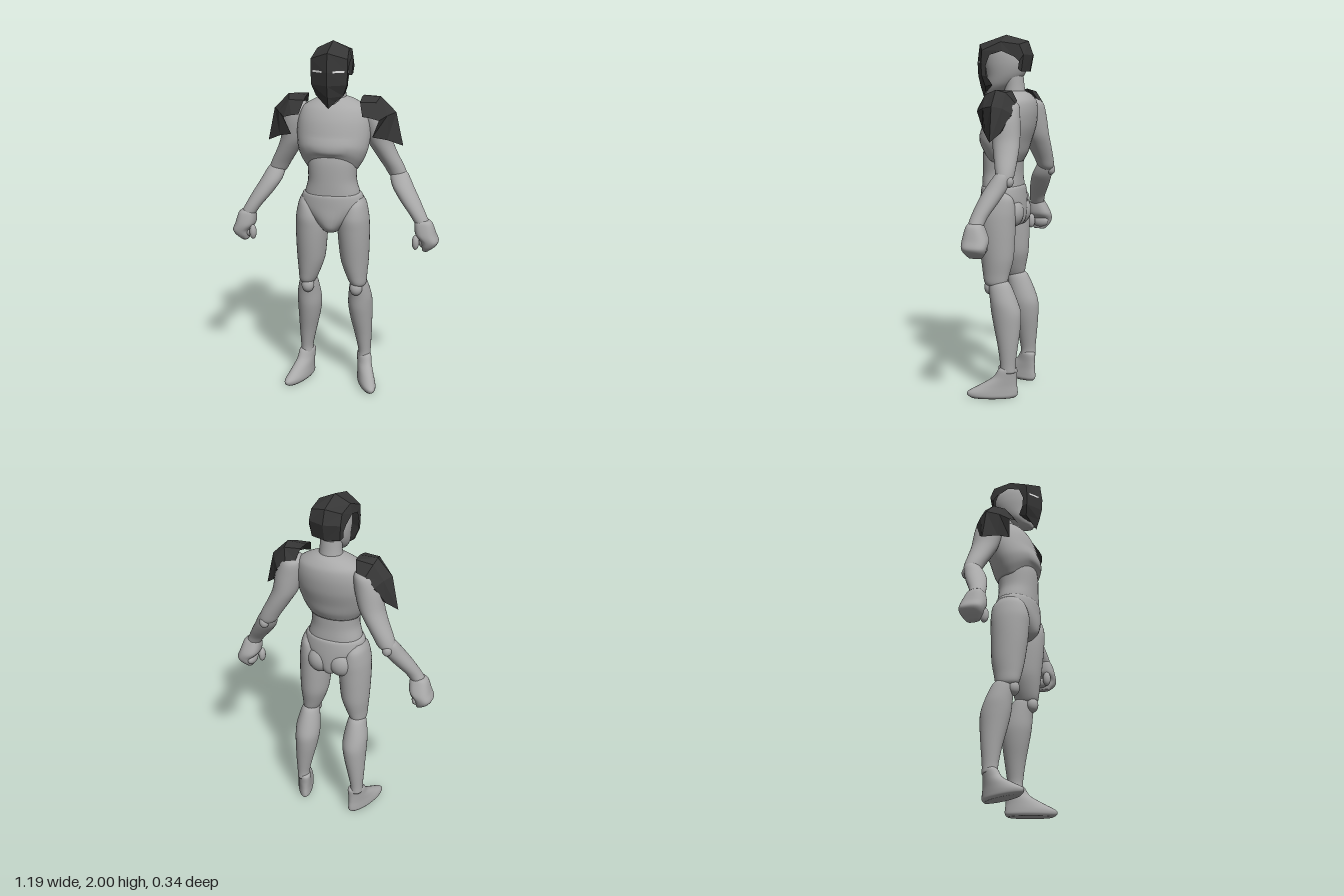
import * as THREE from 'three';

const grey = new THREE.MeshStandardMaterial({ color: 0xa9a9a9, name: 'body grey' });
const dark = new THREE.MeshStandardMaterial({ color: 0x363636, name: 'armour charcoal', flatShading: true, side: THREE.DoubleSide });
const white = new THREE.MeshStandardMaterial({ color: 0xf4f4f4, name: 'eye white', side: THREE.DoubleSide });

function build(positions, index) {
  const g = new THREE.BufferGeometry();
  g.setAttribute('position', new THREE.Float32BufferAttribute(positions, 3));
  if (index) g.setIndex(index);
  g.computeVertexNormals();
  return g;
}

function add(parent, name, geometry, material) {
  const mesh = new THREE.Mesh(geometry, material);
  mesh.name = name;
  parent.add(mesh);
  return mesh;
}

// Smooth closed body from horizontal rings, top to bottom: [y, x, z, rx, rz].
// side mirrors the ring centres; power under 1 squares the rings; warp moves vertices.
function loft(rings, { side = 1, power = 1, warp = null } = {}) {
  const seg = 32, rows = (rings.length - 1) * 5;
  const centres = new THREE.CatmullRomCurve3(rings.map(r => new THREE.Vector3(r[1] * side, r[0], r[2])), false, 'catmullrom', 0.45);
  const radii = new THREE.CatmullRomCurve3(rings.map(r => new THREE.Vector3(r[3], r[4], 0)), false, 'catmullrom', 0.45);
  const bend = v => Math.sign(v) * Math.abs(v) ** power;
  const pos = [], idx = [];
  const push = p => { if (warp) warp(p); pos.push(p.x, p.y, p.z); };
  for (let i = 0; i <= rows; i++) {
    const c = centres.getPoint(i / rows), r = radii.getPoint(i / rows);
    for (let j = 0; j < seg; j++) {
      const a = j / seg * Math.PI * 2;
      push(new THREE.Vector3(c.x + r.x * bend(Math.cos(a)), c.y, c.z + r.y * bend(Math.sin(a))));
    }
  }
  for (let i = 0; i < rows; i++) for (let j = 0; j < seg; j++) {
    const a = i * seg + j, b = i * seg + (j + 1) % seg;
    idx.push(a, b, a + seg, b, b + seg, a + seg);
  }
  // End caps
  const top = pos.length / 3, last = rows * seg;
  push(centres.getPoint(0));
  push(centres.getPoint(1));
  for (let j = 0; j < seg; j++) {
    const k = (j + 1) % seg;
    idx.push(top, k, j, top + 1, last + j, last + k);
  }
  return build(pos, idx);
}

// Faceted sheet through rows of [x, y, z] points
function sheet(rows) {
  const pos = [];
  for (let i = 0; i < rows.length - 1; i++) for (let j = 0; j < rows[i].length - 1; j++) {
    const a = rows[i][j], b = rows[i][j + 1], c = rows[i + 1][j], d = rows[i + 1][j + 1];
    pos.push(...a, ...c, ...b, ...b, ...c, ...d);
  }
  return build(pos);
}
const mirrorX = ([x, y, z]) => [-x, y, z];
// Completes half rows that end on the centre line
const whole = rows => rows.map(r => [...r, ...r.slice(0, -1).reverse().map(mirrorX)]);

function ball(parent, name, x, y, z, rx, ry, rz) {
  const g = new THREE.SphereGeometry(1, 24, 16).scale(rx, ry, rz).translate(x, y, z);
  add(parent, name, g, grey);
}

function addTorso(body) {
  // The lower chest edge arches upward at the front
  const arch = p => {
    const t = THREE.MathUtils.clamp((1.5 - p.y) / 0.19, 0, 1);
    p.y += 0.07 * t * Math.min(1, Math.max(0, p.z / 0.12)) ** 2;
  };
  add(body, 'chest', loft([
    [1.7, 0, -0.055, 0.05, 0.045], [1.68, 0, -0.055, 0.11, 0.08], [1.64, 0, -0.048, 0.175, 0.115],
    [1.58, 0, -0.035, 0.2, 0.135], [1.5, 0, -0.018, 0.205, 0.142], [1.42, 0, 0.003, 0.195, 0.138],
    [1.36, 0, 0.01, 0.172, 0.128], [1.31, 0, 0.008, 0.142, 0.1]], { warp: arch }), grey);
  add(body, 'abdomen', loft([
    [1.43, 0, 0.01, 0.13, 0.1], [1.35, 0, 0.016, 0.138, 0.108], [1.25, 0, 0.018, 0.135, 0.108],
    [1.18, 0, 0.016, 0.152, 0.11], [1.12, 0, 0.015, 0.16, 0.11]], { power: 0.92 }), grey);
  add(body, 'pelvis', loft([
    [1.18, 0, 0.014, 0.145, 0.105], [1.165, 0, 0.014, 0.168, 0.118], [1.1, 0, 0.012, 0.178, 0.124],
    [1.04, 0, 0.012, 0.128, 0.127], [0.99, 0, 0.01, 0.075, 0.122], [0.96, 0, 0.005, 0.05, 0.1],
    [0.945, 0, 0, 0.025, 0.05]]), grey);
  add(body, 'neck', loft([
    [1.8, 0, -0.04, 0.06, 0.055], [1.73, 0, -0.048, 0.06, 0.054], [1.68, 0, -0.05, 0.065, 0.06],
    [1.62, 0, -0.05, 0.075, 0.07]]), grey);
  add(body, 'head', loft([
    [1.965, 0, 0, 0.03, 0.04], [1.945, 0, 0, 0.066, 0.09], [1.9, 0, -0.003, 0.082, 0.122],
    [1.84, 0, -0.003, 0.086, 0.123], [1.78, 0, 0.005, 0.08, 0.106], [1.73, 0, 0.03, 0.068, 0.083],
    [1.69, 0, 0.06, 0.045, 0.055], [1.67, 0, 0.08, 0.02, 0.03]]), grey);
}

function addHelmet(body) {
  const brow = [[0.1, 1.89, 0.06], [0.099, 1.915, 0.105], [0, 1.95, 0.157]];
  add(body, 'helmetCrown', sheet(whole([brow,
    [[0.1, 1.91, -0.01], [0.086, 1.96, 0], [0, 2, 0]],
    [[0.097, 1.88, -0.08], [0.084, 1.945, -0.105], [0, 1.965, -0.13]],
    [[0.095, 1.855, -0.108], [0.086, 1.89, -0.13], [0, 1.89, -0.157]],
    [[0.09, 1.815, -0.1], [0.078, 1.8, -0.115], [0, 1.8, -0.137]]])), dark);
  add(body, 'faceMask', sheet(whole([brow,
    [[0.099, 1.83, 0.085], [0.099, 1.85, 0.11], [0, 1.85, 0.17]],
    [[0.096, 1.775, 0.08], [0.097, 1.78, 0.108], [0, 1.78, 0.166]],
    [[0.078, 1.73, 0.053], [0.074, 1.72, 0.095], [0, 1.715, 0.15]],
    [[0.035, 1.7, 0.09], [0.035, 1.69, 0.11], [0, 1.655, 0.13]]])), dark);
  // Eye slits
  for (const s of [-1, 1]) {
    const row = y => [0.03, 0.086].map(x => [s * x, y, 0.174 - 0.606 * x]);
    add(body, 'eyeSlit', sheet([row(1.858), row(1.848)]), white);
  }
}

function addArm(body, side) {
  const arm = new THREE.Group();
  arm.name = side > 0 ? 'leftArm' : 'rightArm';
  body.add(arm);
  add(arm, 'upperArm', loft([
    [1.655, 0.195, -0.075, 0.02, 0.025], [1.625, 0.205, -0.075, 0.06, 0.07], [1.55, 0.225, -0.078, 0.076, 0.08],
    [1.45, 0.247, -0.09, 0.07, 0.076], [1.38, 0.28, -0.102, 0.063, 0.068], [1.3, 0.325, -0.115, 0.057, 0.055],
    [1.25, 0.348, -0.12, 0.05, 0.045], [1.225, 0.355, -0.12, 0.025, 0.025]], { side }), grey);
  ball(arm, 'elbow', side * 0.36, 1.235, -0.146, 0.027, 0.033, 0.026);
  add(arm, 'forearm', loft([
    [1.29, 0.345, -0.115, 0.025, 0.025], [1.265, 0.352, -0.112, 0.05, 0.045], [1.2, 0.378, -0.085, 0.06, 0.058],
    [1.13, 0.422, -0.055, 0.057, 0.055], [1.06, 0.47, -0.027, 0.047, 0.045], [1.01, 0.5, -0.016, 0.042, 0.04],
    [0.99, 0.505, -0.016, 0.03, 0.03]], { side }), grey);
  add(arm, 'hand', loft([
    [1.03, 0.502, -0.018, 0.035, 0.035], [1.01, 0.507, -0.018, 0.05, 0.048], [0.95, 0.52, -0.025, 0.058, 0.068],
    [0.91, 0.543, -0.026, 0.05, 0.067], [0.88, 0.537, -0.026, 0.038, 0.056], [0.853, 0.522, -0.025, 0.018, 0.035]],
    { side, power: 0.8 }), grey);
  ball(arm, 'thumb', side * 0.468, 0.905, 0.012, 0.02, 0.043, 0.024);
  ball(arm, 'curledFingers', side * 0.505, 0.9, -0.035, 0.025, 0.035, 0.05);
}

function addPauldron(body, side) {
  const rows = [
    [[0.175, 1.61, 0.083], [0.155, 1.68, 0.04], [0.153, 1.7, -0.03], [0.155, 1.7, -0.09], [0.17, 1.645, -0.125]],
    [[0.215, 1.605, 0.083], [0.24, 1.68, 0.03], [0.255, 1.705, -0.035], [0.25, 1.69, -0.09], [0.225, 1.635, -0.135]],
    [[0.262, 1.59, 0.068], [0.3, 1.61, 0.02], [0.34, 1.62, -0.042], [0.31, 1.61, -0.09], [0.275, 1.58, -0.132]],
    [[0.225, 1.495, 0.052], [0.3, 1.475, 0.01], [0.38, 1.435, -0.048], [0.325, 1.48, -0.085], [0.27, 1.53, -0.118]]];
  add(body, side > 0 ? 'leftShoulderArmour' : 'rightShoulderArmour',
    sheet(side > 0 ? rows : rows.map(r => r.map(mirrorX))), dark);
}

function addLeg(body, side) {
  const leg = new THREE.Group();
  leg.name = side > 0 ? 'leftLeg' : 'rightLeg';
  body.add(leg);
  ball(leg, 'buttock', side * 0.062, 1.03, -0.052, 0.075, 0.085, 0.07);
  add(leg, 'thigh', loft([
    [1.15, 0.135, 0.01, 0.04, 0.06], [1.11, 0.13, 0.01, 0.062, 0.095], [1.04, 0.122, 0.014, 0.084, 0.11],
    [0.97, 0.12, 0.013, 0.09, 0.108], [0.88, 0.122, 0.01, 0.087, 0.102], [0.78, 0.126, 0.006, 0.079, 0.092],
    [0.7, 0.136, 0.008, 0.062, 0.077], [0.645, 0.146, 0.008, 0.047, 0.064], [0.62, 0.147, 0, 0.03, 0.04]], { side }), grey);
  ball(leg, 'knee', side * 0.14, 0.617, 0.042, 0.036, 0.043, 0.034);
  add(leg, 'shin', loft([
    [0.665, 0.147, -0.01, 0.03, 0.04], [0.635, 0.147, -0.016, 0.05, 0.063], [0.55, 0.15, -0.04, 0.067, 0.077],
    [0.48, 0.15, -0.055, 0.07, 0.084], [0.4, 0.155, -0.063, 0.063, 0.075], [0.3, 0.165, -0.07, 0.05, 0.058],
    [0.2, 0.173, -0.073, 0.037, 0.044], [0.15, 0.173, -0.073, 0.037, 0.044]], { side }), grey);
  // Foot, turned outward toward the toes
  const turn = p => { p.x += side * 0.35 * (p.z + 0.07); };
  add(leg, 'foot', loft([
    [0.18, 0.172, -0.072, 0.028, 0.03], [0.165, 0.172, -0.072, 0.041, 0.048], [0.12, 0.172, -0.057, 0.042, 0.062],
    [0.075, 0.172, -0.022, 0.045, 0.098], [0.04, 0.172, 0.006, 0.049, 0.13], [0.018, 0.172, 0.008, 0.049, 0.131],
    [0.003, 0.172, 0.005, 0.04, 0.115]], { side, warp: turn }), grey);
}

export function createModel() {
  const body = new THREE.Group();
  body.name = 'armouredFigure';
  addTorso(body);
  addHelmet(body);
  for (const side of [-1, 1]) {
    addArm(body, side);
    addPauldron(body, side);
    addLeg(body, side);
  }
  return body;
}
